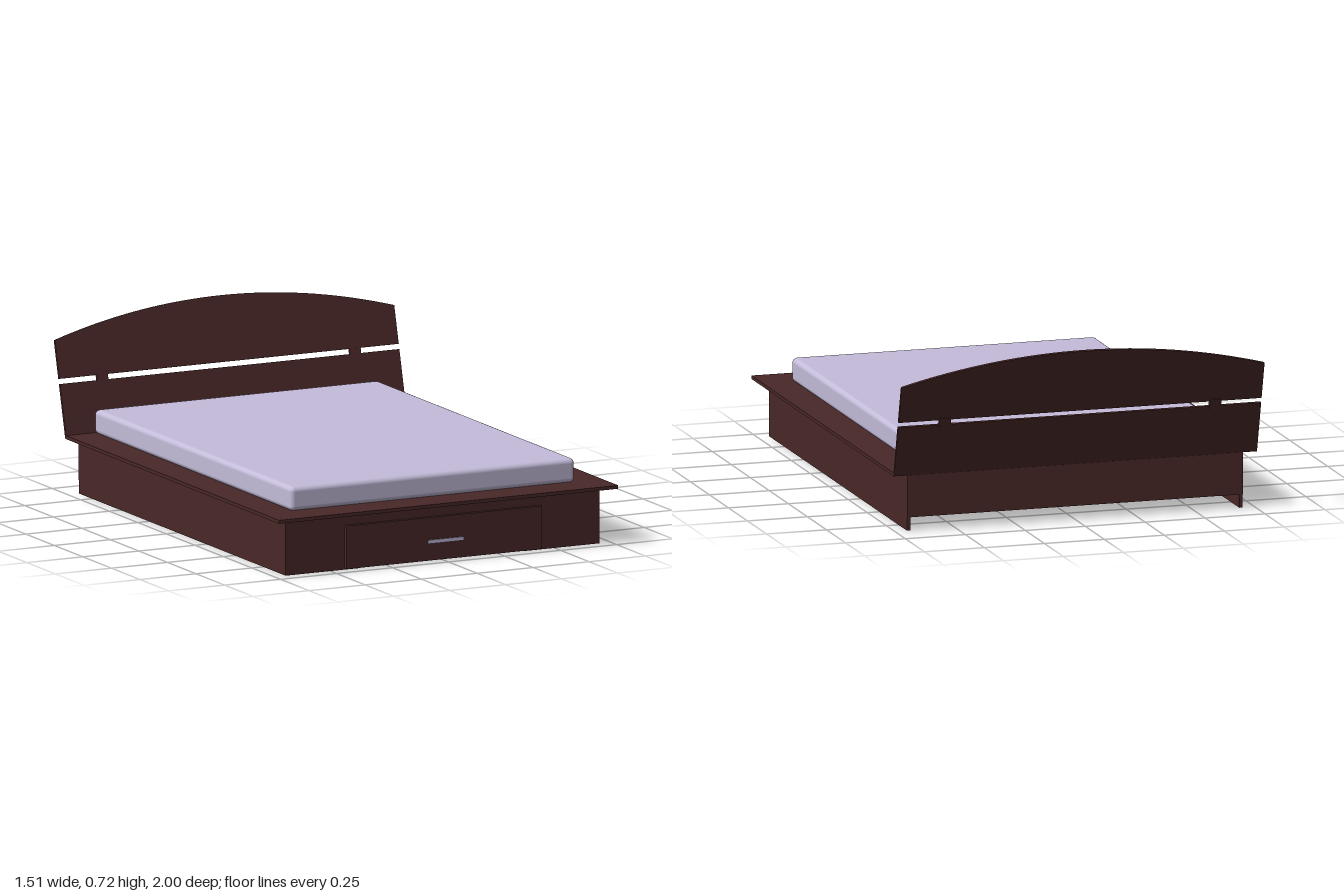
import * as THREE from 'three';
import { RoundedBoxGeometry } from 'three/addons/geometries/RoundedBoxGeometry.js';

export function createModel() {
  const bed = new THREE.Group();
  bed.name = 'bed';
  const wood = new THREE.MeshStandardMaterial({ color: 0x4a2828 });
  wood.name = 'dark wood';
  const fabric = new THREE.MeshStandardMaterial({ color: 0xc4bcda });
  fabric.name = 'pale lavender';

  const add = (name, geometry, material, parent = bed) => {
    const mesh = new THREE.Mesh(geometry, material);
    mesh.name = name;
    parent.add(mesh);
    return mesh;
  };
  // Box given by its limits on each axis
  const box = (name, [x0, x1], [y0, y1], [z0, z1], material = wood, parent = bed) => {
    const mesh = add(name, new THREE.BoxGeometry(x1 - x0, y1 - y0, z1 - z0), material, parent);
    mesh.position.set((x0 + x1) / 2, (y0 + y1) / 2, (z0 + z1) / 2);
    return mesh;
  };

  // Overhanging platform: a flat rim open under the mattress
  const rim = new THREE.Shape();
  rim.moveTo(-0.757, -1).lineTo(0.757, -1).lineTo(0.757, 0.865).lineTo(-0.757, 0.865).closePath();
  const opening = new THREE.Path();
  opening.moveTo(-0.622, -0.852).lineTo(-0.622, 0.848).lineTo(0.622, 0.848).lineTo(0.622, -0.852).closePath();
  rim.holes.push(opening);
  const platform = add('platformRim', new THREE.ExtrudeGeometry(rim, { depth: 0.014, bevelEnabled: false }), wood);
  platform.rotation.x = -Math.PI / 2;
  platform.position.y = 0.226;

  // Base: side, front and back panels
  for (const s of [-1, 1]) {
    const span = (a, b) => (s > 0 ? [a, b] : [-b, -a]);
    box('sidePanel', span(0.686, 0.7), [0, 0.226], [-0.863, 0.932]);
    box('frontPanel', span(0.365, 0.7), [0, 0.226], [0.932, 0.946]);
  }
  box('frontRail', [-0.365, 0.365], [0.17, 0.226], [0.932, 0.946]);
  box('backPanel', [-0.7, 0.7], [0.055, 0.226], [-0.868, -0.854]);

  // Drawer front with a bar handle
  const drawer = new THREE.Group();
  drawer.name = 'drawer';
  bed.add(drawer);
  box('drawerFront', [-0.436, 0.436], [0.005, 0.18], [0.946, 0.963], wood, drawer);
  box('handleBar', [-0.08, 0.08], [0.077, 0.092], [0.974, 0.98], fabric, drawer);
  for (const x of [-0.06, 0.06]) {
    box('handlePost', [x - 0.006, x + 0.006], [0.08, 0.089], [0.962, 0.975], fabric, drawer);
  }

  // Mattress
  const mattress = add('mattress', new RoundedBoxGeometry(1.27, 0.098, 1.725, 4, 0.02), fabric);
  mattress.position.set(0, 0.287, 0.001);

  // Headboard: two slats leaning back, joined by short brackets
  const headboard = new THREE.Group();
  headboard.name = 'headboard';
  headboard.position.set(0, 0.235, -0.863);
  headboard.rotation.x = -0.257;
  bed.add(headboard);
  box('lowerSlat', [-0.757, 0.757], [-0.005, 0.212], [-0.011, 0], wood, headboard);
  const arch = new THREE.Shape();
  arch.moveTo(-0.757, 0.233).lineTo(0.757, 0.233).lineTo(0.757, 0.388);
  arch.quadraticCurveTo(0, 0.608, -0.757, 0.388);
  const upper = add('upperSlat',
    new THREE.ExtrudeGeometry(arch, { depth: 0.011, bevelEnabled: false, curveSegments: 32 }), wood, headboard);
  upper.position.z = -0.011;
  for (const x of [-0.564, 0.564]) {
    box('slatBracket', [x - 0.024, x + 0.024], [0.202, 0.243], [-0.016, -0.002], wood, headboard);
  }
  return bed;
}
